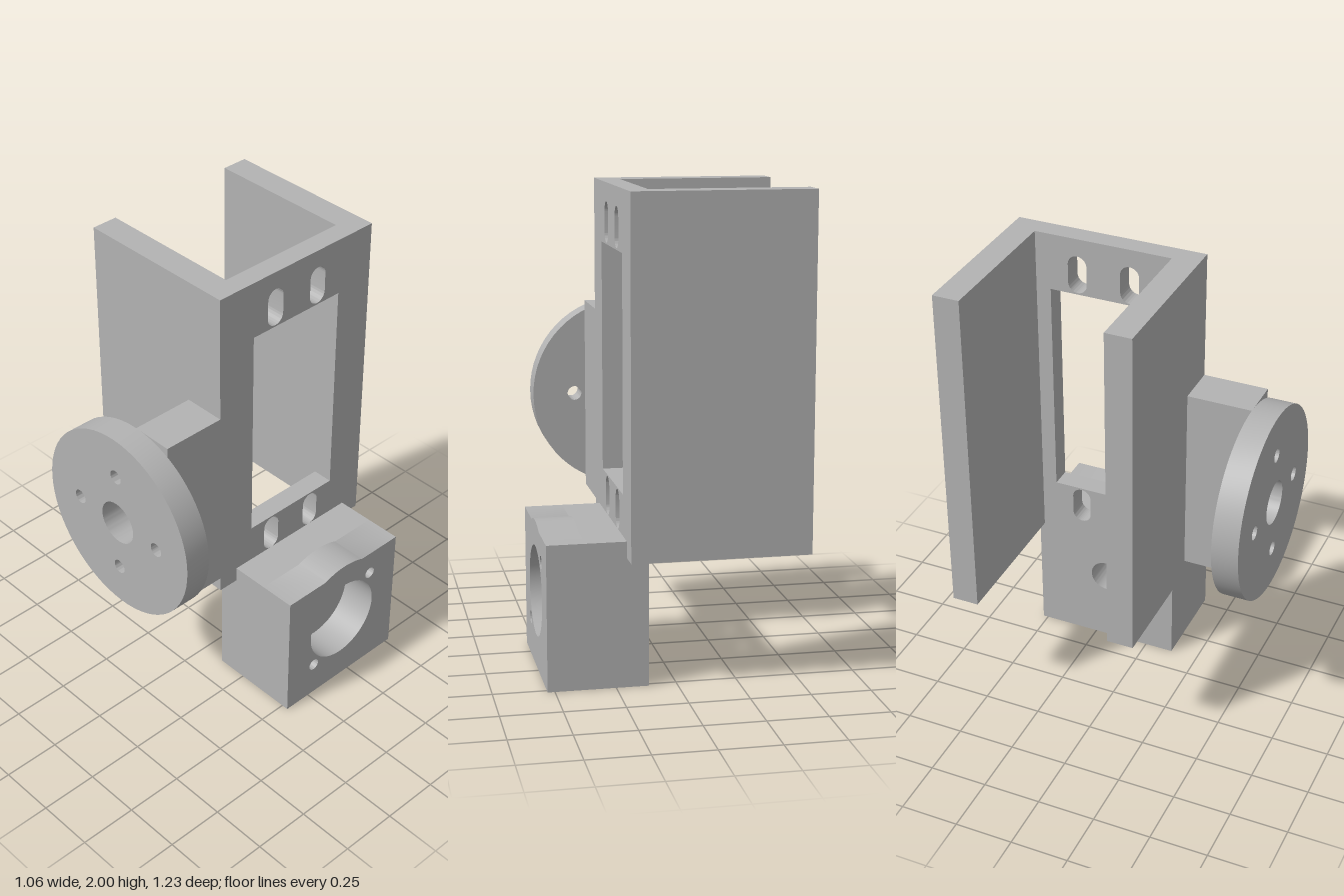
import * as THREE from 'three';
import { toCreasedNormals } from 'three/addons/utils/BufferGeometryUtils.js';

const grey = new THREE.MeshStandardMaterial({ color: 0xb3b3b3 });
grey.name = 'plain grey';

function circle(x, y, r) {
  const p = new THREE.Path();
  p.absarc(x, y, r, 0, Math.PI * 2, false);
  return p;
}

function rect(Type, x0, y0, x1, y1) {
  return new Type([[x0, y0], [x1, y0], [x1, y1], [x0, y1]].map(([x, y]) => new THREE.Vector2(x, y)));
}

// Upright slot with round ends
function slot(x, y0, y1, r) {
  const p = new THREE.Path();
  p.absarc(x, y1 - r, r, 0, Math.PI, false);
  p.absarc(x, y0 + r, r, Math.PI, Math.PI * 2, false);
  p.closePath();
  return p;
}

function extrude(shape, depth) {
  return new THREE.ExtrudeGeometry(shape, { depth, bevelEnabled: false, curveSegments: 32 });
}

// Extrude along x; the shape is drawn in (-z, y)
function extrudeX(shape, x0, x1) {
  return extrude(shape, x1 - x0).rotateY(Math.PI / 2).translate(x0, 0, 0);
}

export function createModel() {
  const model = new THREE.Group();
  model.name = 'servoBracket';

  const add = (name, geometry) => {
    const mesh = new THREE.Mesh(toCreasedNormals(geometry, 0.5), grey);
    mesh.name = name;
    model.add(mesh);
  };
  const addBox = (name, x0, x1, y0, y1, z0, z1) => add(name,
    new THREE.BoxGeometry(x1 - x0, y1 - y0, z1 - z0)
      .translate((x0 + x1) / 2, (y0 + y1) / 2, (z0 + z1) / 2));

  // Side plate with window and four mounting slots
  const plate = rect(THREE.Shape, -0.22, 0.54, 0.615, 2);
  plate.holes.push(rect(THREE.Path, -0.04, 0.78, 0.435, 1.748));
  for (const u of [0.078, 0.312]) {
    plate.holes.push(slot(u, 1.755, 1.922, 0.042), slot(u, 0.608, 0.773, 0.042));
  }
  add('sidePlate', extrudeX(plate, 0.115, 0.205));

  // Two parallel walls of the channel
  addBox('backWall', -0.535, 0.115, 0.54, 2, -0.615, -0.5);
  addBox('frontWall', -0.535, 0.115, 0.54, 2, 0.105, 0.22);

  // Arm carrying the round flange
  addBox('flangeArm', 0.02, 0.205, 0.608, 1.443, 0.22, 0.5);

  // Flange disc with centre bore and four bolt holes
  const cx = 0.02, cy = 1.026;
  const disc = new THREE.Shape();
  disc.absarc(cx, cy, 0.418, 0, Math.PI * 2, false);
  disc.holes.push(circle(cx, cy, 0.095));
  for (const [dx, dy] of [[1, 0], [-1, 0], [0, 1], [0, -1]]) {
    disc.holes.push(circle(cx + dx * 0.233, cy + dy * 0.233, 0.031));
  }
  add('flangeDisc', extrude(disc, 0.115).translate(0, 0, 0.5));

  // Bearing block: rear part with the through bore
  const bu = 0.197, bv = 0.33, top = 0.608, u0 = -0.127, u1 = 0.522;
  const rear = rect(THREE.Shape, u0, 0, u1, top);
  rear.holes.push(circle(bu, bv, 0.072));
  add('bearingBlockRear', extrudeX(rear, 0.115, 0.37));

  // Bearing block: outer part with seat, raised crown and screw holes
  const r = 0.3, a = Math.asin((top - bv) / r);
  const outer = new THREE.Shape();
  outer.moveTo(u0, 0);
  outer.lineTo(u1, 0);
  outer.lineTo(u1, top);
  outer.absarc(bu, bv, r, a, Math.PI - a, false);
  outer.lineTo(u0, top);
  outer.closePath();
  outer.holes.push(circle(bu, bv, 0.191));
  for (const s of [1, -1]) outer.holes.push(circle(bu + s * 0.166, bv + s * 0.166, 0.027));
  add('bearingBlockOuter', extrudeX(outer, 0.37, 0.53));

  return model;
}
